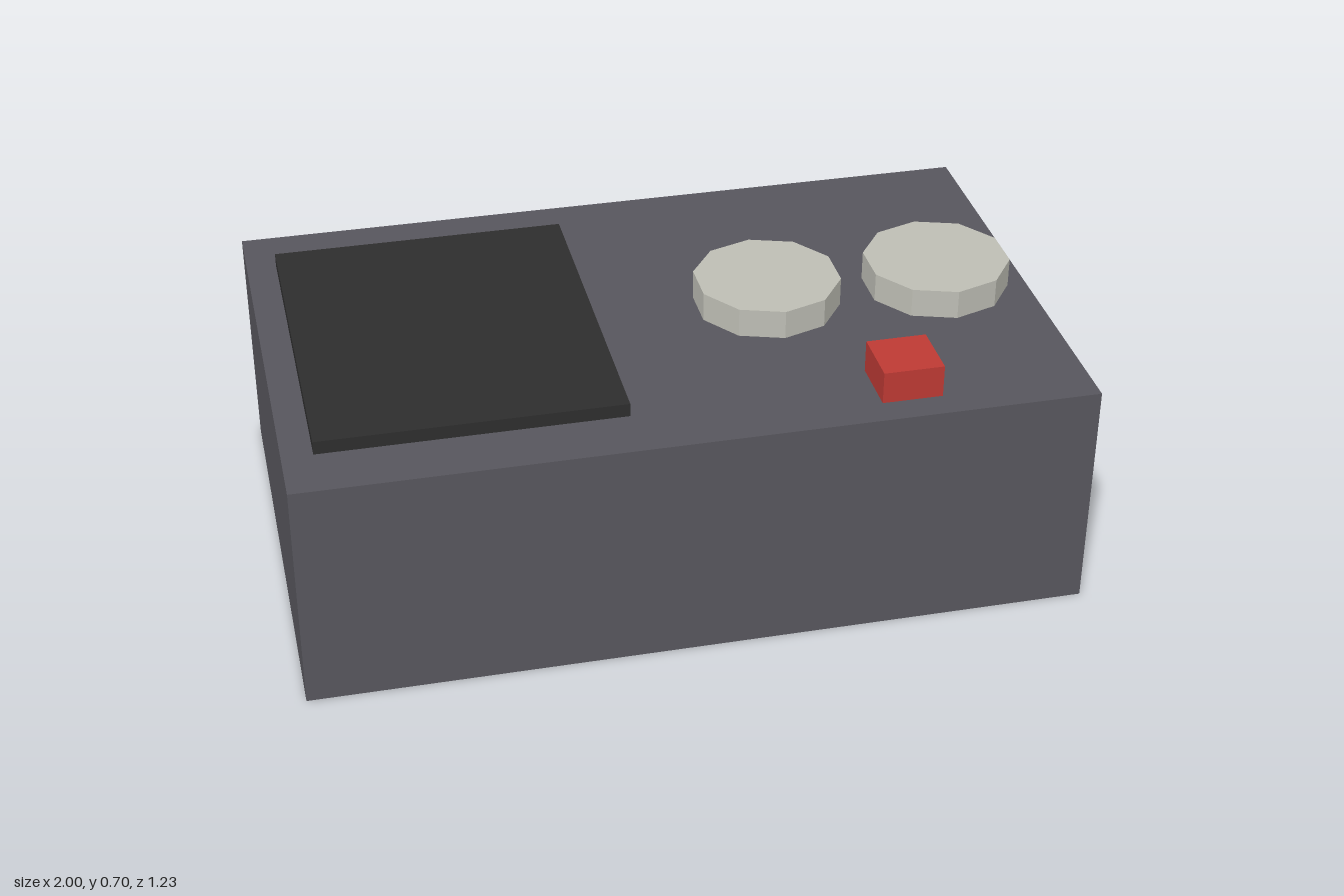
import * as THREE from 'three';

const material = (name, color) => {
  const m = new THREE.MeshStandardMaterial({ color });
  m.name = name;
  return m;
};

export function createModel() {
  const casing = material('casingGrey', 0x57565d);
  const dark = material('panelBlack', 0x2d2d2d);
  const pale = material('dialGrey', 0xbdbdb4);
  const red = material('buttonRed', 0xbd3a34);
  pale.flatShading = true;

  const group = new THREE.Group();
  group.name = 'controlBox';
  const top = 0.615; // height of the casing's upper face

  // Places a part so that its base rests at height y
  const add = (name, geometry, mat, height, x, y, z) => {
    const mesh = new THREE.Mesh(geometry, mat);
    mesh.name = name;
    mesh.position.set(x, y + height / 2, z);
    group.add(mesh);
  };
  const addBox = (name, mat, w, h, d, x, y, z) =>
    add(name, new THREE.BoxGeometry(w, h, d), mat, h, x, y, z);

  // Casing, raised panel and square button
  addBox('casing', casing, 2, top, 1.23, 0, 0, 0);
  addBox('panel', dark, 0.769, 0.035, 0.923, -0.538, top, 0);
  addBox('button', red, 0.154, 0.085, 0.154, 0.538, top, 0.462);

  // Pair of ten-sided dials
  [['rightDial', 0.308], ['leftDial', 0.767]].forEach(([name, x]) =>
    add(name, new THREE.CylinderGeometry(0.192, 0.192, 0.077, 10), pale, 0.077, x, top, 0));

  return group;
}
